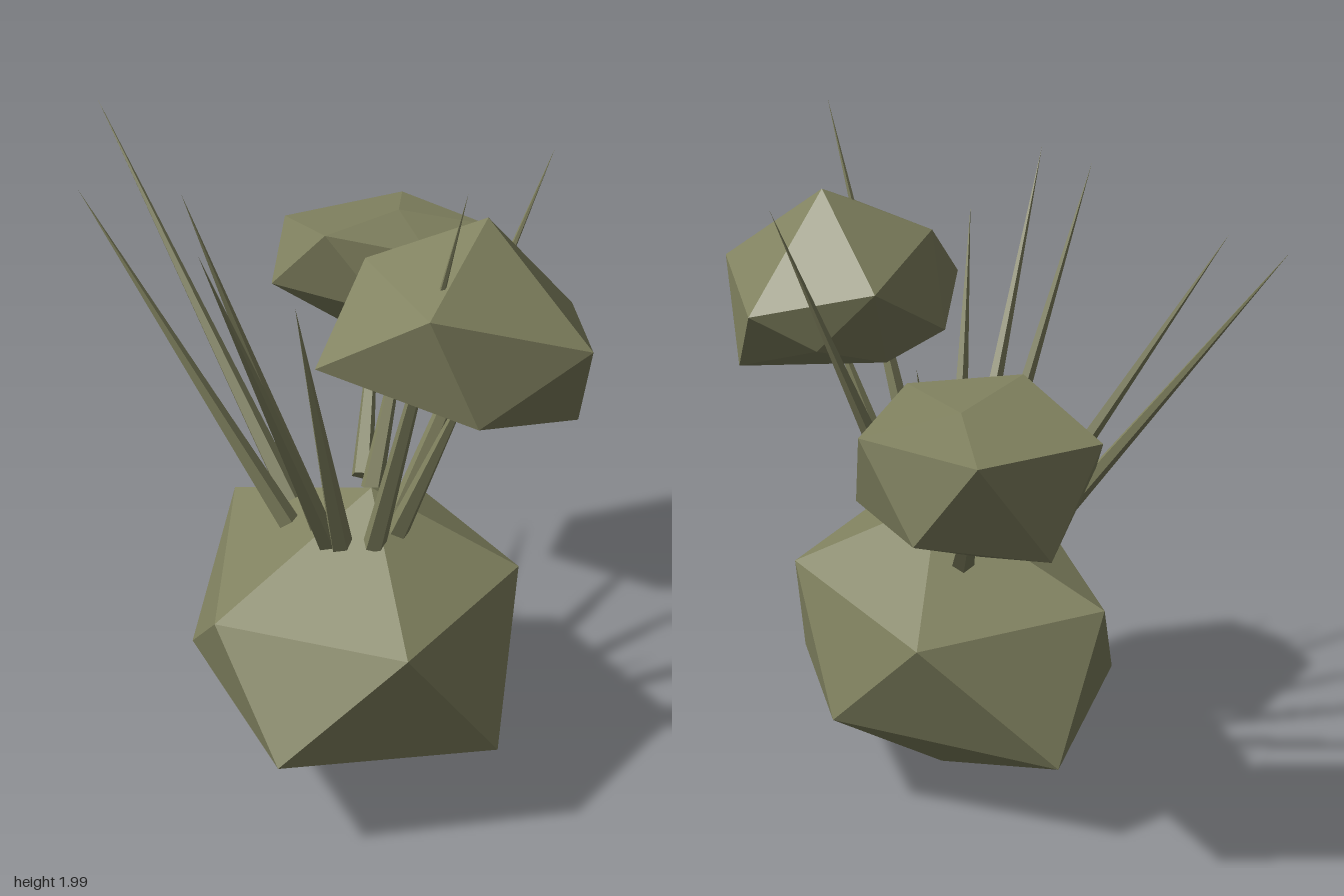
import * as THREE from 'three';
import { ConvexGeometry } from 'three/addons/geometries/ConvexGeometry.js';

const olive = new THREE.MeshStandardMaterial({ color: 0x80815f });
olive.name = 'olive';

const vec = (p) => new THREE.Vector3(...p);

// Irregular twelve-cornered boulder, flat faces
function boulder(name, top, upper, lower, bottom) {
  const mesh = new THREE.Mesh(new ConvexGeometry([top, ...upper, ...lower, bottom].map(vec)), olive);
  mesh.name = name;
  return mesh;
}

// Thin faceted cone running from its base to its tip
function spike(name, base, tip, radius = 0.034) {
  const a = vec(base), d = vec(tip).sub(a), len = d.length();
  let g = new THREE.ConeGeometry(radius, len, 5, 1);
  g.translate(0, len / 2, 0);
  g = g.toNonIndexed();
  g.computeVertexNormals();
  const mesh = new THREE.Mesh(g, olive);
  mesh.quaternion.setFromUnitVectors(new THREE.Vector3(0, 1, 0), d.normalize());
  mesh.position.copy(a);
  mesh.name = name;
  return mesh;
}

export function createModel() {
  const model = new THREE.Group();
  model.name = 'spikyPlant';

  // Large body at the bottom
  model.add(boulder('body', [0.18, 0.87, 0.09],
    [[-0.4, 0.645, 0.07], [0.06, 0.6, 0.61], [0.64, 0.655, 0.45], [0.56, 0.67, -0.12], [-0.03, 0.6, -0.37]],
    [[-0.26, 0.305, 0.4], [0.38, 0.305, 0.69], [0.72, 0.25, 0.15], [0.29, 0.29, -0.33], [-0.4, 0.25, -0.2]],
    [0.17, 0, 0.09]));

  // Two heads above it
  model.add(boulder('leftHead', [0.54, 1.79, 0.04],
    [[0.67, 1.66, 0.42], [0.92, 1.535, 0.07], [0.6, 1.465, -0.26], [0.23, 1.56, -0.16], [0.28, 1.66, 0.23]],
    [[0.36, 1.46, 0.51], [0.78, 1.37, 0.35], [0.78, 1.24, -0.07], [0.42, 1.37, -0.18], [0.2, 1.38, 0.17]],
    [0.33, 1.29, 0.05]));
  model.add(boulder('rightHead', [-0.28, 1.41, -0.54],
    [[-0.28, 1.425, -0.21], [0, 1.395, -0.36], [-0.08, 1.36, -0.725], [-0.46, 1.355, -0.76], [-0.62, 1.34, -0.39]],
    [[-0.51, 1.2, -0.215], [-0.1, 1.2, -0.29], [0.04, 1.11, -0.56], [-0.28, 1.115, -0.78], [-0.57, 1.06, -0.57]],
    [-0.3, 0.985, -0.47]));

  // Spikes fanning out of the body: base, tip
  const spikes = [
    [[-0.1, 0.74, 0.13], [-0.91, 1.78, 0.1]],
    [[-0.02, 0.74, 0.23], [-0.56, 1.7, 0.49]],
    [[0.1, 0.76, 0.22], [-0.08, 1.84, 0.55]],
    [[0.18, 0.76, 0.27], [0.21, 1.82, 0.77]],
    [[0.22, 0.77, 0.26], [0.35, 1.65, 0.57]],
    [[0.31, 0.79, 0.22], [0.71, 1.99, 0.33]],
    [[0.25, 0.79, 0.05], [0.42, 1.83, -0.39]],
    [[0.1, 0.8, 0], [0, 1.42, -0.31]],
  ];
  spikes.forEach(([base, tip], i) => model.add(spike('spike' + (i + 1), base, tip)));

  // Stalks that end inside the heads
  model.add(spike('leftStalk', [0.31, 0.78, 0.13], [0.63, 1.5, 0.12]));
  model.add(spike('rightStalk', [-0.01, 0.77, -0.08], [-0.32, 1.28, -0.5]));
  return model;
}
